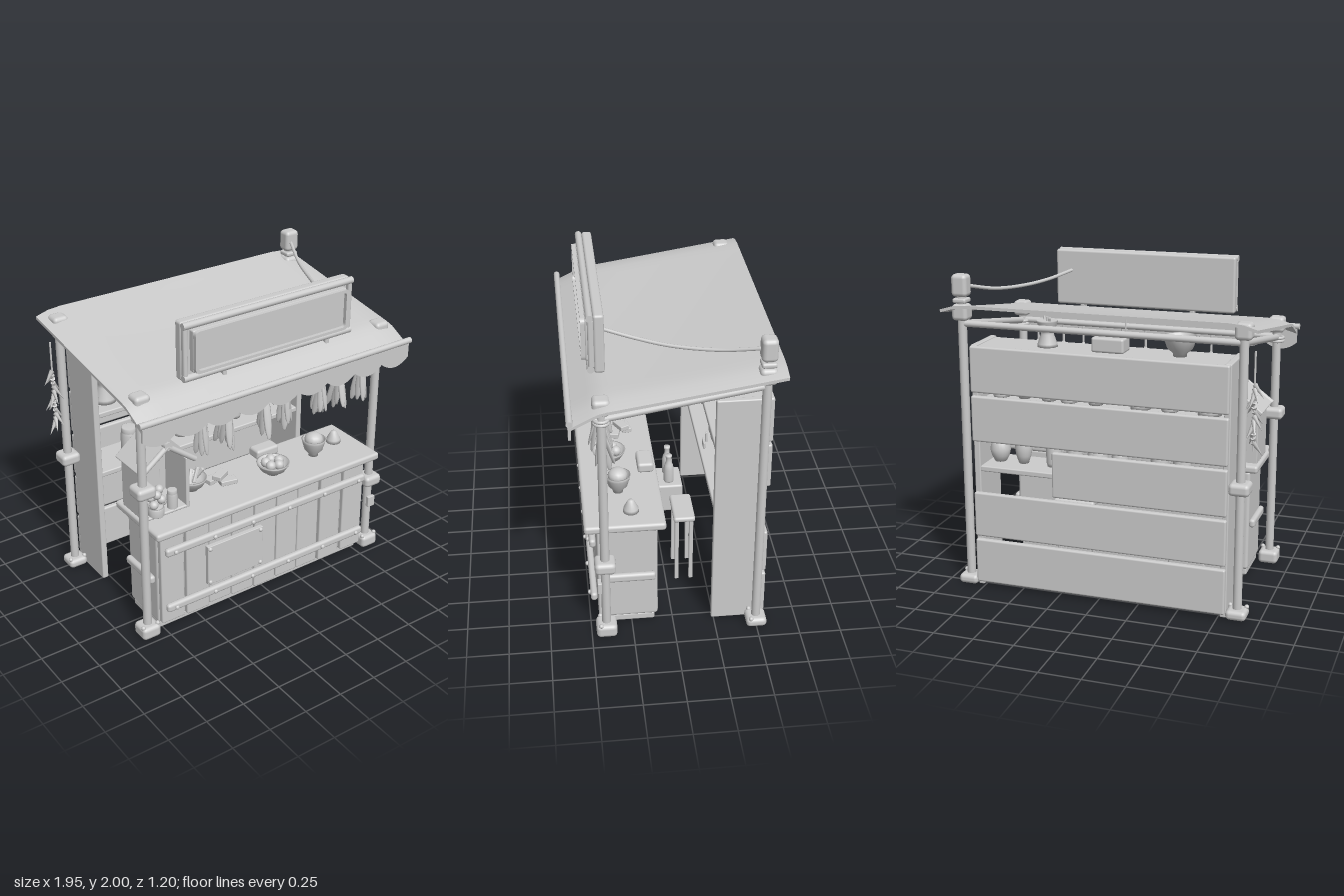
import * as THREE from 'three';
import { RoundedBoxGeometry } from 'three/addons/geometries/RoundedBoxGeometry.js';

const mat = new THREE.MeshStandardMaterial({ color: 0xcccccc });
const thin = new THREE.MeshStandardMaterial({ color: 0xcccccc, side: THREE.DoubleSide });
const V = (x, y, z) => new THREE.Vector3(x, y, z);

export function createModel() {
  const root = new THREE.Group();
  let parent = root;

  const group = (name, x = 0, y = 0, z = 0) => {
    const g = new THREE.Group();
    g.name = name;
    g.position.set(x, y, z);
    root.add(g);
    parent = g;
    return g;
  };
  const add = (name, geo, x = 0, y = 0, z = 0, m = mat) => {
    const mesh = new THREE.Mesh(geo, m);
    mesh.name = name;
    mesh.position.set(x, y, z);
    parent.add(mesh);
    return mesh;
  };
  // Softly bevelled box
  const box = (name, w, h, d, x, y, z, r = 0.012) =>
    add(name, new RoundedBoxGeometry(w, h, d, 2, Math.min(r, w / 2.1, h / 2.1, d / 2.1)), x, y, z);
  // Round bar between two points
  const bar = (name, a, b, r, sides = 12) => {
    const mid = a.clone().add(b).multiplyScalar(0.5);
    const mesh = add(name, new THREE.CylinderGeometry(r, r, a.distanceTo(b), sides), mid.x, mid.y, mid.z);
    mesh.quaternion.setFromUnitVectors(V(0, 1, 0), b.clone().sub(a).normalize());
    return mesh;
  };
  const ball = (name, r, x, y, z) => add(name, new THREE.SphereGeometry(r, 14, 10), x, y, z);
  const lathe = (name, pts, x, y, z) =>
    add(name, new THREE.LatheGeometry(pts.map(p => new THREE.Vector2(...p)), 20), x, y, z, thin);
  const nail = (x, y, z) => {
    const n = ball('nail', 0.014, x, y, z);
    n.scale.z = 0.8;
  };

  // Pottery profiles, scaled by radius and height
  const profiles = {
    bottle: [[0, 0], [0.85, 0], [1, 0.1], [1, 0.5], [0.8, 0.66], [0.5, 0.76], [0.48, 0.9], [0.62, 0.93], [0.62, 1], [0, 1]],
    jar: [[0, 0], [0.9, 0], [1, 0.08], [1, 0.72], [0.85, 0.8], [0.92, 0.82], [0.92, 0.98], [0.8, 1], [0, 1]],
    vase: [[0, 0], [0.55, 0], [0.85, 0.2], [1, 0.42], [0.8, 0.66], [0.45, 0.82], [0.65, 1], [0, 0.95]],
    hourglass: [[0, 0], [0.95, 0], [0.9, 0.12], [0.6, 0.48], [0.65, 0.6], [1, 0.95], [0.95, 1], [0, 0.96]],
    bowl: [[0, 0], [0.4, 0], [0.4, 0.15], [0.75, 0.4], [0.95, 0.85], [1, 1], [0.9, 1], [0.7, 0.55], [0, 0.35]],
  };
  const pot = (kind, r, h, x, y, z) => lathe(kind, profiles[kind].map(([a, b]) => [a * r, b * h]), x, y, z);

  // Corner posts with wrapped blocks
  for (const [x, z, top, mid] of [[-0.86, 0.41, 1.6, 1.02], [0.86, 0.41, 1.6, 0.51], [-0.86, -0.5, 1.74, 0.81], [0.86, -0.5, 1.74, 0]]) {
    group('post');
    bar('postPole', V(x, 0, z), V(x, top, z), 0.027, 16);
    box('postFoot', 0.125, z > 0 ? 0.085 : 0.06, 0.125, x, z > 0 ? 0.0425 : 0.03, z, 0.025);
    if (mid) box('postBlock', 0.125, 0.075, 0.125, x, mid, z, 0.025);
    box('postCap', 0.1, 0.1, 0.1, x, top - 0.01, z, 0.025);
    for (const [dx, dz] of [[0.05, 0.035], [-0.05, 0.035]]) ball('footNail', 0.014, x + dx, z > 0 ? 0.085 : 0.06, z + dz);
    if (z > 0) for (const dy of [0, 0.02]) {
      const ring = add('ropeWrap', new THREE.TorusGeometry(0.04, 0.01, 8, 20), x, 1.485 + dy, z);
      ring.rotation.x = Math.PI / 2;
    }
  }
  box('postTag', 0.055, 0.075, 0.025, 0.86, 0.35, 0.445, 0.004);

  // Roof beams
  group('roofFrame');
  for (const x of [-0.86, 0.86]) bar('sideBeam', V(x, 1.5, 0.44), V(x, 1.66, -0.5), 0.021);
  bar('frontBeam', V(-0.86, 1.51, 0.41), V(0.86, 1.51, 0.41), 0.02);
  bar('backBeam', V(-0.86, 1.66, -0.5), V(0.86, 1.66, -0.5), 0.02);

  // Bent canopy sheet with drooping edges
  group('canopy');
  const roof = new THREE.BoxGeometry(1.91, 0.018, 1.18, 24, 1, 24);
  const rp = roof.attributes.position;
  for (let i = 0; i < rp.count; i++) {
    const x = rp.getX(i), z = rp.getZ(i) - 0.01;
    const line = z > 0.42 ? 1.625 - (z - 0.42) * 0.5 : 1.625 + (0.42 - z) * 0.158;
    const droop = 0.03 * Math.max(0, (Math.abs(x) - 0.8) / 0.155) ** 2;
    const sag = 0.012 * Math.max(0, Math.sin((0.42 - z) * 3.1)) * Math.cos(x * 1.6);
    rp.setXYZ(i, x, rp.getY(i) + line - droop - sag - 0.008, z);
  }
  roof.computeVertexNormals();
  add('roofSheet', roof);
  bar('canopyRod', V(-0.97, 1.545, 0.585), V(0.97, 1.545, 0.585), 0.019, 14);
  const flap = new THREE.Shape();
  flap.moveTo(0.955, 1.54);
  flap.lineTo(-0.955, 1.54);
  flap.lineTo(-0.955, 1.44);
  const scallops = 9, step = 1.91 / scallops;
  for (let i = 0; i < scallops; i++) {
    const x = -0.955 + i * step;
    flap.quadraticCurveTo(x + step / 2, 1.35, x + step, 1.44);
  }
  add('valance', new THREE.ExtrudeGeometry(flap, { depth: 0.016, bevelEnabled: false, curveSegments: 10 }), 0, 0, 0.577);

  // Blank sign board with raised frames
  group('signBoard');
  box('signPanel', 1.19, 0.355, 0.06, 0, 1.82, 0.395, 0.015);
  for (const y of [1.665, 1.98]) bar('signRail', V(-0.595, y, 0.445), V(0.595, y, 0.445), 0.021);
  for (const x of [-0.58, 0.58]) box('signStile', 0.03, 0.3, 0.035, x, 1.822, 0.44);
  const roundRect = (S, w, h, r) => {
    const s = new S(), x = w / 2, y = h / 2;
    s.moveTo(-x + r, -y); s.lineTo(x - r, -y); s.quadraticCurveTo(x, -y, x, -y + r);
    s.lineTo(x, y - r); s.quadraticCurveTo(x, y, x - r, y); s.lineTo(-x + r, y);
    s.quadraticCurveTo(-x, y, -x, y - r); s.lineTo(-x, -y + r); s.quadraticCurveTo(-x, -y, -x + r, -y);
    return s;
  };
  const trim = roundRect(THREE.Shape, 1.08, 0.255, 0.03);
  trim.holes.push(roundRect(THREE.Path, 1.045, 0.22, 0.025));
  add('signTrim', new THREE.ExtrudeGeometry(trim, { depth: 0.025, bevelEnabled: false }), 0, 1.822, 0.468);
  box('signInset', 1.08, 0.255, 0.045, 0, 1.822, 0.447, 0.01);
  for (const x of [-0.31, 0.43]) box('signFoot', 0.03, 0.06, 0.05, x, 1.63, 0.42, 0.008);

  // Lantern on the rear post, linked to the sign by a slack rope
  group('lantern');
  bar('lanternNeck', V(0.86, 1.72, -0.5), V(0.86, 1.85, -0.5), 0.03);
  box('lanternCollar', 0.085, 0.03, 0.085, 0.86, 1.8, -0.5);
  box('lanternBody', 0.1, 0.135, 0.09, 0.86, 1.89, -0.5, 0.025);
  const rope = new THREE.CatmullRomCurve3([V(0.49, 1.865, 0.37), V(0.57, 1.835, 0.18), V(0.65, 1.822, 0), V(0.75, 1.835, -0.25), V(0.85, 1.885, -0.47)]);
  add('rope', new THREE.TubeGeometry(rope, 24, 0.011, 8));

  // Hanging bulb
  group('hangingLamp');
  bar('lampCord', V(0, 1.68, 0), V(0, 1.43, 0), 0.006, 8);
  lathe('bulb', [[0, 0], [0.022, 0.008], [0.037, 0.04], [0.03, 0.08], [0.017, 0.11], [0.017, 0.14], [0, 0.145]], 0, 1.3, 0);

  // Counter: body, slab, uneven planks, nailed rails and plate
  group('counter');
  box('counterBody', 1.57, 0.66, 0.33, 0, 0.38, 0.255, 0.02);
  box('counterPlinth', 1.55, 0.05, 0.3, 0, 0.03, 0.26);
  box('counterTop', 1.68, 0.05, 0.48, 0, 0.737, 0.285, 0.018);
  const planks = [[-0.695, 0.7, 0.06], [-0.515, 0.69, 0.055], [-0.35, 0.69, 0.07], [-0.182, 0.7, 0.06], [-0.01, 0.68, 0.05],
    [0.16, 0.69, 0.06], [0.327, 0.7, 0.06], [0.51, 0.68, 0.045], [0.697, 0.7, 0.055]];
  for (const [x, top, low] of planks) box('plank', 0.163, top - low, 0.04, x, (top + low) / 2, 0.43, 0.01);
  for (const y of [0.585, 0.185]) {
    box('rail', 1.52, 0.055, 0.04, 0, y, 0.475, 0.018);
    for (let i = 0; i < 6; i++) nail(-0.7 + i * 0.28, y, 0.5);
  }
  box('plate', 0.41, 0.275, 0.03, -0.265, 0.385, 0.478, 0.004);
  for (const x of [-0.455, -0.08]) for (const y of [0.265, 0.505]) nail(x, y, 0.495);
  for (const x of [-0.8, 0.8]) box('sideBar', 0.04, 0.055, 0.29, x, 0.36, 0.25, 0.018);

  // Little house on the counter
  group('house', -0.665, 0.76, 0.235);
  for (const s of [-1, 1]) {
    box('houseWall', 0.025, 0.34, 0.25, s * 0.145, 0.17, 0, 0.005);
    const slope = box('houseRoof', 0.235, 0.022, 0.29, s * 0.09, 0.4, 0, 0.006);
    slope.rotation.z = -s * 0.69;
    bar('gablePole', V(0, 0.47, 0.14), V(s * 0.185, 0.33, 0.14), 0.017);
  }
  bar('ridgeLog', V(0, 0.475, -0.145), V(0, 0.475, 0.155), 0.026);
  const gable = new THREE.Shape([[-0.15, 0], [0.15, 0], [0.15, 0.34], [0, 0.46], [-0.15, 0.34]].map(p => new THREE.Vector2(...p)));
  add('houseBack', new THREE.ExtrudeGeometry(gable, { depth: 0.02, bevelEnabled: false }), 0, 0, -0.125);
  box('houseNiche', 0.16, 0.28, 0.02, 0, 0.16, -0.095, 0.004);
  box('houseFloor', 0.3, 0.02, 0.25, 0, 0.01, 0);
  pot('jar', 0.05, 0.07, -0.065, 0.01, 0.1);
  for (let i = 0; i < 9; i++) {
    const a = i * 2.4, r = 0.045 - 0.003 * i;
    ball('fruit', 0.027, -0.065 + Math.cos(a) * r, 0.09 + i * 0.012, 0.1 + Math.sin(a) * r);
  }
  pot('jar', 0.033, 0.13, 0.055, 0.01, 0.09);

  // Goods on the counter
  group('counterGoods', 0, 0.76, 0);
  pot('bowl', 0.095, 0.085, -0.39, 0, 0.2);
  for (const [dx, a] of [[-0.02, -0.6], [0.02, -0.3], [0.04, 0.4]]) {
    const stick = box('spiceStick', 0.022, 0.1, 0.022, -0.38 + dx, 0.09, 0.2, 0.006);
    stick.rotation.set(a, 0, -0.5);
  }
  for (const [x, y, z, a] of [[-0.23, 0.017, 0.2, 0.2], [-0.17, 0.017, 0.27, -0.2], [-0.2, 0.05, 0.23, 0.5]])
    box('brick', 0.11, 0.032, 0.06, x, y, z, 0.005).rotation.y = a;
  pot('bowl', 0.105, 0.08, 0.13, 0, 0.33);
  for (let i = 0; i < 5; i++) ball('egg', 0.032, 0.13 + Math.cos(i * 1.257) * 0.045, 0.075, 0.33 + Math.sin(i * 1.257) * 0.045);
  box('loaf', 0.17, 0.065, 0.1, 0.22, 0.035, 0.115, 0.018);
  pot('bowl', 0.078, 0.12, 0.475, 0, 0.3);
  ball('dome', 0.06, 0.475, 0.115, 0.3).scale.y = 0.8;
  lathe('bell', [[0, 0], [0.047, 0], [0.045, 0.025], [0.025, 0.065], [0.015, 0.08], [0, 0.083]], 0.69, 0, 0.24);

  // Back shelving and horizontal wall boards, one cut short
  group('shelving');
  for (const x of [-0.78, 0.78]) box('shelfSide', 0.04, 1.54, 0.295, x, 0.77, -0.383, 0.008);
  for (const y of [0.765, 1.18, 1.515]) box('shelf', 1.53, 0.035, 0.28, 0, y, -0.385, 0.008);
  for (let i = 0; i < 5; i++) {
    const w = i === 2 ? 1.075 : 1.59;
    box('wallBoard', w, 0.285, 0.036, -0.795 + w / 2, 0.172 + i * 0.306, -0.546, 0.012);
  }
  for (const x of [-0.465, -0.14, 0.505]) {
    box('tag', 0.065, 0.04, 0.012, x, 1.085, -0.21, 0.003);
    box('tagHook', 0.012, 0.07, 0.012, x, 1.13, -0.225, 0.003);
  }

  // Pottery on the shelves
  group('shelfGoods');
  const lower = [['jar', -0.48, 0.055, 0.18], ['vase', -0.34, 0.055, 0.26], ['bottle', -0.09, 0.05, 0.21], ['vase', 0.05, 0.065, 0.23], ['bottle', 0.2, 0.05, 0.25],
    ['bottle', 0.335, 0.048, 0.25], ['vase', 0.535, 0.055, 0.25], ['vase', 0.69, 0.065, 0.19]];
  for (const [kind, x, r, h] of lower) pot(kind, r, h, x, 0.782, -0.38);
  const upper = [['hourglass', -0.64, 0.075, 0.21], ['jar', -0.4, 0.055, 0.17], ['hourglass', -0.22, 0.065, 0.2], ['bottle', 0.06, 0.05, 0.21], ['jar', 0.23, 0.055, 0.18],
    ['bottle', 0.36, 0.05, 0.21], ['vase', 0.52, 0.06, 0.2], ['jar', 0.67, 0.055, 0.17]];
  for (const [kind, x, r, h] of upper) pot(kind, r, h, x, 1.197, -0.38);
  pot('bowl', 0.1, 0.12, -0.46, 1.532, -0.39);
  box('chest', 0.2, 0.09, 0.13, -0.04, 1.577, -0.4, 0.015);
  pot('hourglass', 0.065, 0.16, 0.36, 1.532, -0.39);
  for (const s of [-1, 0, 1]) bar('utensil', V(0.36 + s * 0.01, 1.58, -0.39), V(0.36 + s * 0.03, 1.71, -0.39 + s * 0.03), 0.008, 8);

  // Dried leaf bundles along the front beam
  const leaf = new THREE.SphereGeometry(1, 8, 8).scale(0.024, 0.13, 0.01).translate(0, -0.13, 0);
  [-0.44, -0.27, 0.0, 0.16, 0.43, 0.57, 0.75].forEach((x, b) => {
    group('leafBundle', x, 1.4, 0.41);
    bar('bundleString', V(0, 0.11, 0), V(0, -0.02, 0), 0.008, 8);
    for (let i = 0; i < 8; i++) {
      const a = i * 2.4 + b, tilt = 0.12 + 0.05 * (i % 4);
      const l = add('leaf', leaf, 0, -0.01, 0);
      l.rotation.set(Math.cos(a) * tilt, a, Math.sin(a) * tilt);
      l.scale.setScalar(0.95 + 0.08 * ((i + b) % 3));
    }
  });

  // Strand of peppers by the rear post
  group('pepperStrand', -0.925, 0, -0.5);
  bar('strandString', V(0, 1.62, 0), V(0, 1.04, 0), 0.006, 8);
  const pepper = new THREE.ConeGeometry(0.016, 0.1, 8).rotateX(Math.PI).translate(0, -0.05, 0);
  for (let i = 0; i < 14; i++) {
    const p = add('pepper', pepper, 0, 1.43 - i * 0.026, 0);
    p.rotation.set(0, i * 2.2, i % 2 ? 0.6 : -0.6);
  }

  // Stool and crate behind the counter
  group('stool', 0.29, 0, -0.115);
  box('stoolSeat', 0.27, 0.035, 0.135, 0, 0.472, 0, 0.015);
  for (const x of [-0.1, 0.1]) for (const z of [-0.045, 0.045]) box('stoolLeg', 0.025, 0.46, 0.025, x, 0.23, z, 0.004);
  group('crate', -0.46, 0, -0.1);
  box('crateBox', 0.24, 0.21, 0.2, 0, 0.105, 0, 0.015);
  for (const x of [-0.06, 0.05]) pot('bottle', 0.035, 0.22, x, 0.2, -0.01);

  return root;
}
